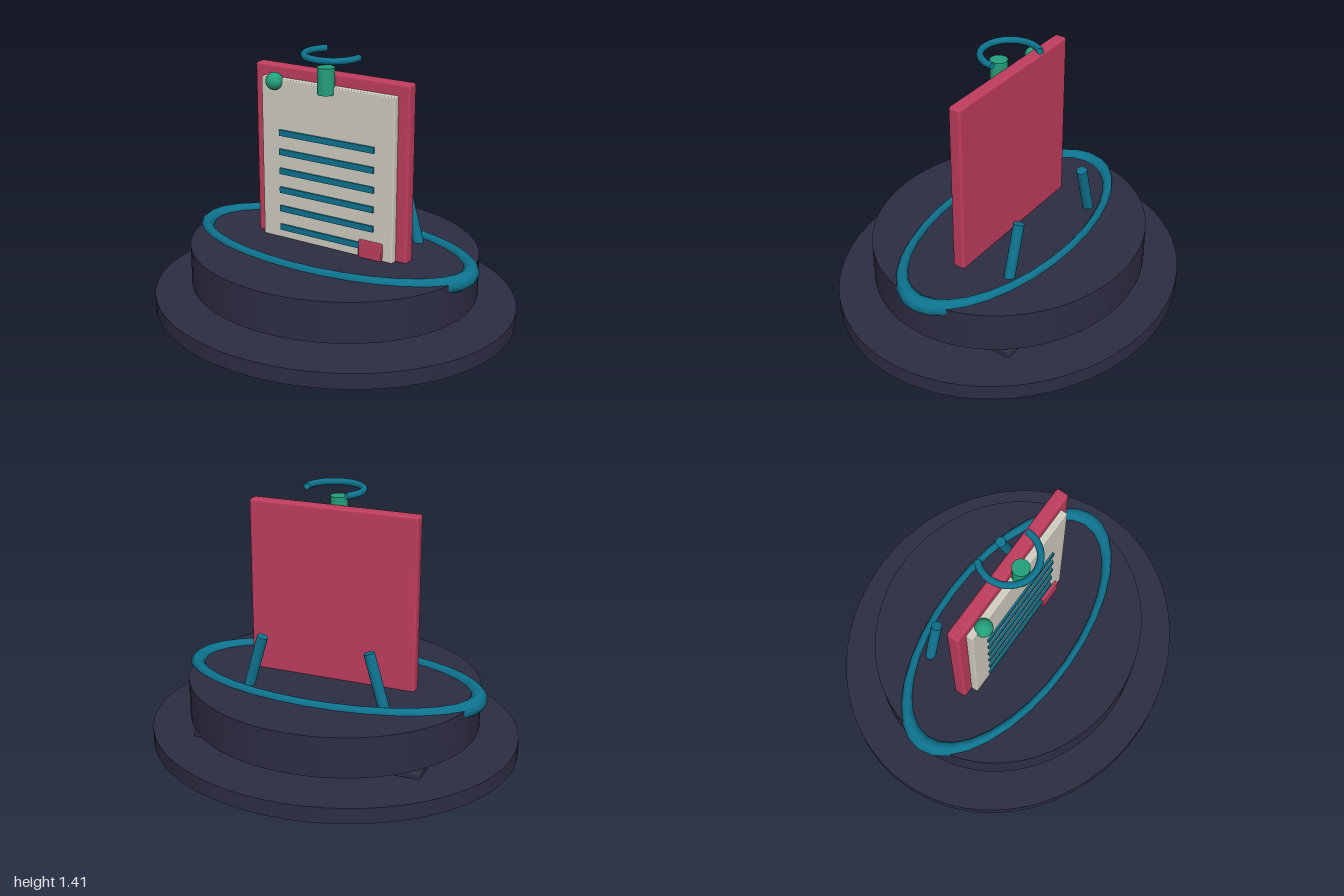
import * as THREE from 'three';
import { RoundedBoxGeometry } from 'three/addons/geometries/RoundedBoxGeometry.js';

function material(name, color, side = THREE.FrontSide) {
  const m = new THREE.MeshStandardMaterial({ color, side });
  m.name = name;
  return m;
}

export function createModel() {
  const model = new THREE.Group();
  model.name = 'noteBoardStand';
  const navy = material('navy', 0x2d2d44);
  const red = material('crimson', 0xc03d5f);
  const cream = material('paper', 0xd2cfc2);
  const teal = material('teal', 0x0e7490, THREE.DoubleSide);
  const green = material('green', 0x24a07a);

  const add = (name, geometry, mat, x, y, z) => {
    const mesh = new THREE.Mesh(geometry, mat);
    mesh.name = name;
    mesh.position.set(x, y, z);
    model.add(mesh);
    return mesh;
  };
  const rounded = (w, h, d, r) => new RoundedBoxGeometry(w, h, d, 2, r);

  // Stacked oval plinth
  const disc = (name, rx, rz, bottom, top) => {
    const g = new THREE.CylinderGeometry(1, 1, top - bottom, 64);
    add(name, g, navy, 0, (bottom + top) / 2, 0).scale.set(rx, 1, rz);
  };
  disc('base', 1, 0.895, 0, 0.085);
  disc('upperDisc', 0.79, 0.71, 0.14, 0.36);

  // Squashed oval trim ring, half sunk into the upper disc
  const trim = new THREE.TorusGeometry(0.795, 0.045, 10, 32).rotateX(Math.PI / 2);
  add('trimRing', trim, teal, 0, 0.345, 0).scale.z = 0.48;

  // Board with its sheet
  add('board', rounded(0.925, 1.0, 0.07, 0.014), red, 0, 0.802, 0);
  add('sheet', rounded(0.8, 0.92, 0.045, 0.006), cream, 0, 0.78, 0.049);

  // Written lines
  for (let i = 0; i < 6; i++) {
    add('line', new THREE.BoxGeometry(0.575, 0.033, 0.02), teal, 0, 0.951 - i * 0.1062, 0.072);
  }
  add('stamp', rounded(0.135, 0.095, 0.03, 0.005), red, 0.275, 0.407, 0.076);

  // Pin, clip and the open loop above it
  add('pin', new THREE.SphereGeometry(0.047, 20, 14), green, -0.315, 1.225, 0.075);
  add('clip', new THREE.CylinderGeometry(0.046, 0.046, 0.14, 24), green, 0, 1.27, 0.07);
  const loop = new THREE.TorusGeometry(0.15, 0.018, 10, 32, Math.PI * 1.25).rotateX(Math.PI / 2);
  add('openLoop', loop, teal, 0, 1.391, 0);

  // Leaning back rods and their feet, mirrored
  for (const s of [-1, 1]) {
    const rod = new THREE.CylinderGeometry(0.029, 0.029, 0.555, 16);
    add('backRod', rod, teal, s * 0.37, 0.375, -0.26).rotation.z = s * 0.28;
    add('foot', rounded(0.3, 0.05, 0.135, 0.015), navy, s * 0.48, 0.096, -0.368);
  }

  return model;
}
